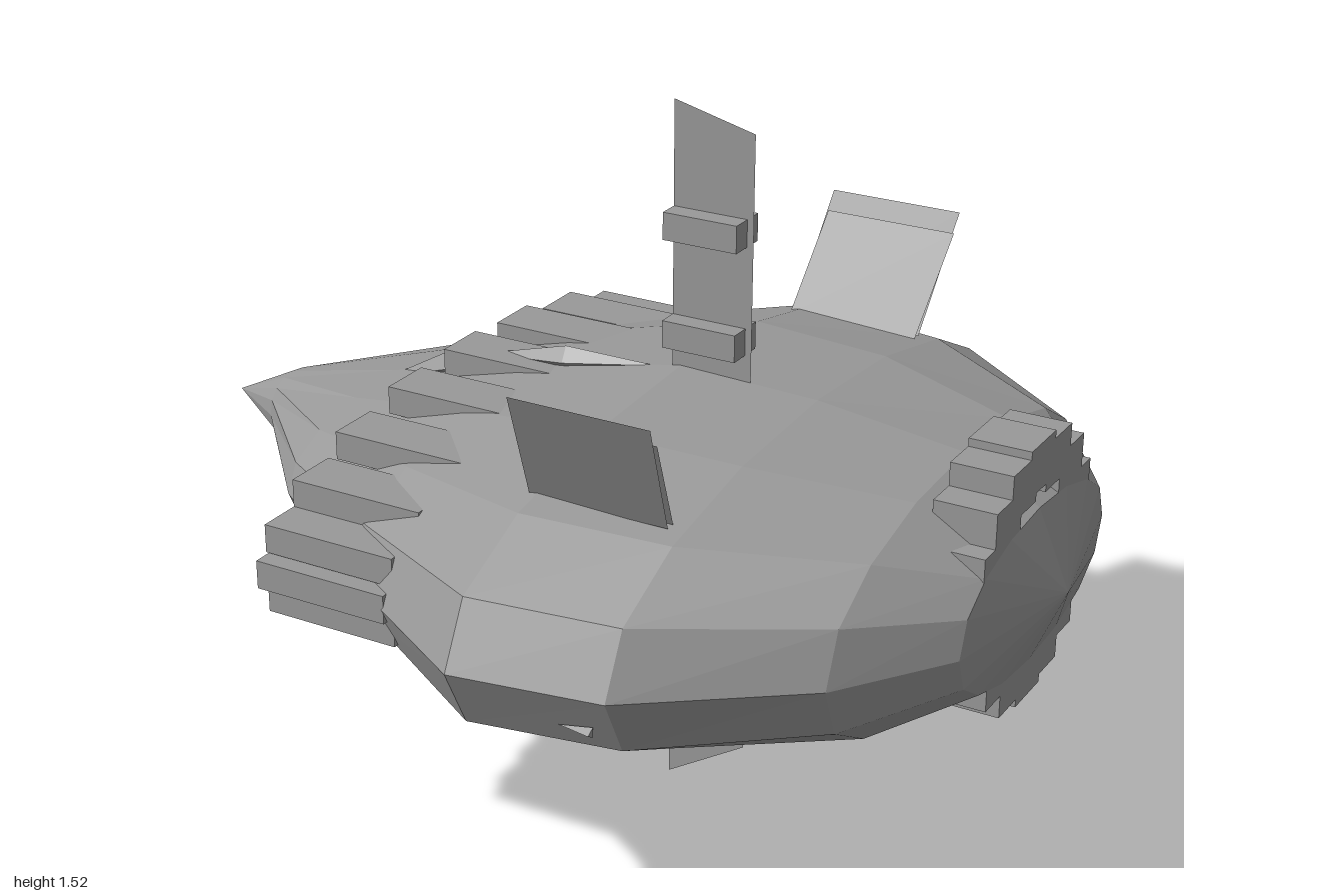
import * as THREE from 'three';

const grey = new THREE.MeshStandardMaterial({ color: 0x999999, flatShading: true, side: THREE.DoubleSide });
grey.name = 'hull grey';
const MID = 0.665; // height of the hull axis

function add(parent, name, geometry, x = 0, y = 0, z = 0) {
  const mesh = new THREE.Mesh(geometry, grey);
  mesh.name = name;
  mesh.position.set(x, y, z);
  parent.add(mesh);
  return mesh;
}

// Faceted hull lofted through oval rings: [x, half height, half width]
function hullGeometry() {
  const rings = [[-1, 0, 0], [-0.85, 0.075, 0.09], [-0.57, 0.135, 0.4], [-0.22, 0.228, 0.66],
    [0.14, 0.295, 0.88], [0.45, 0.285, 0.83], [0.77, 0.245, 0.59], [0.93, 0.165, 0.36], [1, 0, 0]];
  const sides = 16, pos = [], index = [];
  rings.forEach(([x, h, w], i) => {
    for (let j = 0; j < sides; j++) {
      const a = (j / sides) * Math.PI * 2, s = Math.sin(a);
      pos.push(x, MID + h * Math.sign(s) * Math.pow(Math.abs(s), 0.85), w * Math.cos(a));
      if (i === rings.length - 1) continue;
      const k = (j + 1) % sides, p = i * sides, q = p + sides;
      index.push(p + j, q + j, q + k, p + j, q + k, p + k);
    }
  });
  const g = new THREE.BufferGeometry();
  g.setAttribute('position', new THREE.Float32BufferAttribute(pos, 3));
  g.setIndex(index);
  g.computeVertexNormals();
  return g;
}

// Upright blocks set around an oval
function blockRing(parent, name, count, size, x, y, ry, rz) {
  const ring = new THREE.Group();
  ring.name = name;
  for (let i = 0; i < count; i++) {
    const a = (i / count) * Math.PI * 2;
    add(ring, 'block', new THREE.BoxGeometry(...size), x, y + ry * Math.cos(a), rz * Math.sin(a));
  }
  parent.add(ring);
}

// Flat four-cornered plate
function plate(corners) {
  const g = new THREE.BufferGeometry();
  g.setAttribute('position', new THREE.Float32BufferAttribute(corners.flat(), 3));
  g.setIndex([0, 1, 2, 0, 2, 3]);
  g.computeVertexNormals();
  return g;
}

export function createModel() {
  const model = new THREE.Group();
  model.name = 'spacecraft';
  add(model, 'hull', hullGeometry());

  // Block collars around the tail and the nose
  blockRing(model, 'tailCollar', 20, [0.3, 0.06, 0.12], -0.25, MID, 0.21, 0.67);
  blockRing(model, 'noseCollar', 16, [0.13, 0.1, 0.12], 0.865, 0.695, 0.225, 0.22);

  // Tall central fin with its cross blocks
  add(model, 'centralFin', plate([[0.12, 0, 0], [0.3, 0.11, 0], [0.3, 1.475, 0], [0.12, 1.52, 0]]));
  for (const y of [0.36, 1.04, 1.27])
    add(model, 'finBlock', new THREE.BoxGeometry(0.165, 0.058, 0.09), 0.203, y, 0);

  // Ridge spikes along the top and bottom of the tail
  for (const s of [1, -1]) {
    for (const [x, rise, l, w, tilt] of [[-0.13, 0.252, 0.215, 0.025, 0.14], [-0.42, 0.18, 0.18, 0.035, 0.36]]) {
      const spike = add(model, 'ridgeSpike', new THREE.OctahedronGeometry(1), x, MID + s * rise, 0);
      spike.scale.set(l, 0.03, w);
      spike.rotation.z = s * tilt;
    }
  }

  for (const s of [1, -1]) {
    // Paired panels leaning outward
    for (const [z0, z1, y1] of [[0.55, 0.67, 1.14], [0.53, 0.645, 1.1]])
      add(model, 'sidePanel', plate([[0.12, 0.89, s * z0], [0.42, 0.89, s * z0], [0.45, y1, s * z1], [0.15, y1, s * z1]]));

    // Small keel spikes
    const keel = new THREE.ConeGeometry(0.06, 0.1, 4);
    const p = keel.attributes.position;
    for (let i = 0; i < p.count; i++)
      if (p.getY(i) > 0) p.setX(i, p.getX(i) - 0.06); // swept tip
    keel.rotateX(Math.PI);
    keel.scale(1, 1, 0.75);
    add(model, 'keelSpike', keel, 0.18, 0.36, s * 0.195);

    // Tiny side thorns
    const thorn = add(model, 'sideThorn', new THREE.ConeGeometry(0.012, 0.07, 3), 0.375, 0.585, s * 0.81);
    thorn.rotation.z = Math.PI / 2;
  }
  return model;
}
